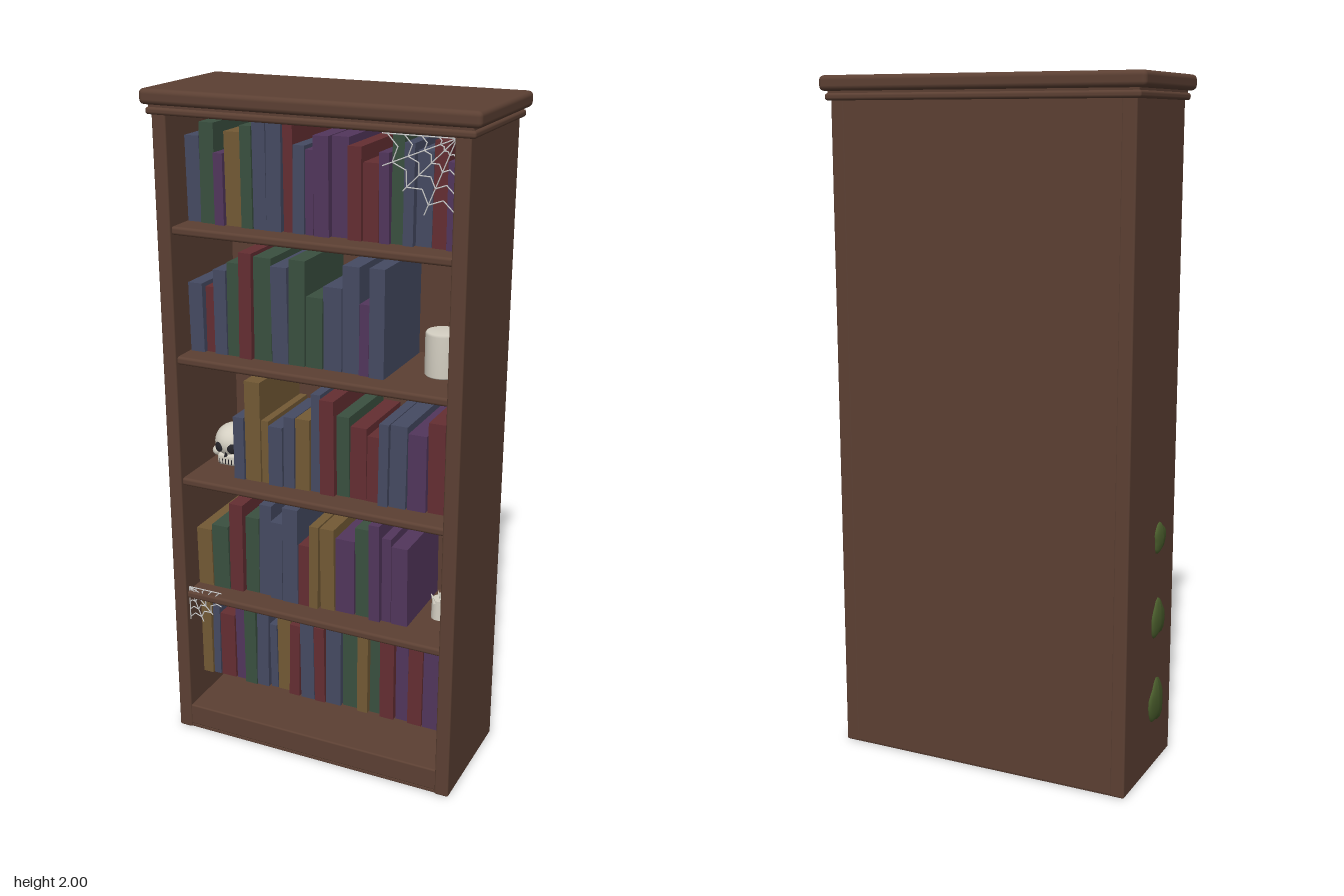
import * as THREE from 'three';
import { RoundedBoxGeometry } from 'three/addons/geometries/RoundedBoxGeometry.js';

const colours = {
  wood: 0x5c4033, blueCloth: 0x454a62, redCloth: 0x642e32, greenCloth: 0x3a5040, ochreCloth: 0x735a35,
  purpleCloth: 0x52365c, bone: 0xd4cfc2, web: 0xcfcfcf, moss: 0x4a5d2c, shadowGrey: 0x25242a,
};
const mats = {};
for (const [name, color] of Object.entries(colours)) {
  mats[name] = new THREE.MeshStandardMaterial({ color });
  mats[name].name = name;
}

let seed = 7;
const rand = () => (seed = (seed * 16807) % 2147483647) / 2147483647;

function add(parent, name, geo, mat, x = 0, y = 0, z = 0) {
  const m = new THREE.Mesh(geo, mats[mat]);
  m.name = name;
  m.position.set(x, y, z);
  parent.add(m);
  return m;
}

// Rounded board given by its limits on each axis
function board(parent, name, [x0, x1], [y0, y1], [z0, z1], r = 0.005) {
  const geo = new RoundedBoxGeometry(x1 - x0, y1 - y0, z1 - z0, 2, r);
  return add(parent, name, geo, 'wood', (x0 + x1) / 2, (y0 + y1) / 2, (z0 + z1) / 2);
}

function group(parent, name, x = 0, y = 0, z = 0) {
  const g = new THREE.Group();
  g.name = name;
  g.position.set(x, y, z);
  parent.add(g);
  return g;
}

// One row of books: cloth letters, widths and heights (hundredths)
const cloth = { b: 'blueCloth', r: 'redCloth', g: 'greenCloth', y: 'ochreCloth', p: 'purpleCloth' };
function bookRow(parent, startX, y, letters, widths, heights) {
  const row = group(parent, 'bookRow', 0, y, 0);
  let x = startX;
  widths.forEach((wPix, i) => {
    const w = wPix * 0.0053, h = heights[i] / 100, front = 0.095 + rand() * 0.02, back = -0.15;
    const geo = new THREE.BoxGeometry(w - 0.003, h, front - back);
    const book = add(row, 'book', geo, cloth[letters[i]], x + w / 2, h / 2, (front + back) / 2);
    book.rotation.z = (rand() - 0.5) * 0.03;
    x += w;
  });
}

// Thin strand between two points
function strand(parent, a, b) {
  const d = new THREE.Vector3().subVectors(b, a);
  const m = add(parent, 'strand', new THREE.CylinderGeometry(0.0018, 0.0018, d.length(), 5), 'web');
  m.position.copy(a).addScaledVector(d, 0.5);
  m.quaternion.setFromUnitVectors(new THREE.Vector3(0, 1, 0), d.normalize());
}

// Corner web: spokes fanning downwards, joined by sagging threads
function cobweb(parent, x, y, z, side, radius, spokes, rings) {
  const web = group(parent, 'cobweb', x, y, z);
  const at = (i, r) => {
    const a = (i / (spokes - 1)) * Math.PI / 2;
    return new THREE.Vector3(side * Math.cos(a) * r, -Math.sin(a) * r, 0);
  };
  for (let i = 0; i < spokes; i++) {
    strand(web, at(i, 0), at(i, radius * (i % 2 ? 1.05 : 0.98)));
    if (i === spokes - 1) break;
    for (let k = 1; k <= rings; k++) {
      const r = radius * k / (rings + 0.4);
      const mid = at(i + 0.5, r * 0.86);
      strand(web, at(i, r), mid);
      strand(web, mid, at(i + 1, r));
    }
  }
}

function skull(parent, x, y, z) {
  const g = group(parent, 'skull', x, y, z);
  add(g, 'cranium', new THREE.SphereGeometry(0.057, 24, 16), 'bone', 0, 0.068, -0.005).scale.set(1, 0.95, 1.1);
  add(g, 'jaw', new RoundedBoxGeometry(0.062, 0.04, 0.06, 3, 0.012), 'bone', 0, 0.021, 0.022);
  for (const s of [-1, 1]) {
    add(g, 'cheekbone', new THREE.SphereGeometry(0.016, 12, 8), 'bone', s * 0.036, 0.042, 0.034);
    const eye = add(g, 'eyeSocket', new THREE.SphereGeometry(0.016, 14, 10), 'shadowGrey', s * 0.023, 0.06, 0.05);
    eye.scale.set(1, 1, 0.4);
    eye.rotation.y = s * 0.4;
  }
  add(g, 'noseHole', new THREE.ConeGeometry(0.008, 0.018, 3), 'shadowGrey', 0, 0.042, 0.052);
  for (let i = -2; i <= 2; i++)
    add(g, 'toothGap', new THREE.BoxGeometry(0.002, 0.016, 0.004), 'shadowGrey', i * 0.01, 0.016, 0.0515);
}

export function createModel() {
  const model = new THREE.Group();
  model.name = 'bookcase';

  // Carcass
  const frame = group(model, 'case');
  const depth = [-0.19, 0.19];
  for (const s of [-1, 1])
    board(frame, 'sidePanel', s < 0 ? [-0.458, -0.415] : [0.415, 0.458], [0, 1.95], depth);
  board(frame, 'backPanel', [-0.45, 0.45], [0.002, 1.95], [-0.189, -0.16]);
  board(frame, 'bottomBoard', [-0.43, 0.43], [0.01, 0.08], [-0.18, 0.186]);
  board(frame, 'plinth', [-0.45, 0.45], [0, 0.012], [-0.188, 0.185], 0.003);
  board(frame, 'ceilingBoard', [-0.43, 0.43], [1.93, 1.96], [-0.18, 0.185]);

  // Cornice
  board(frame, 'lowerMoulding', [-0.472, 0.472], [1.931, 1.951], [-0.203, 0.2], 0.008);
  // The moulding sits around the case and above the opening
  board(frame, 'mouldingNeck', [-0.465, 0.465], [1.945, 1.962], [-0.196, 0.193], 0.003);
  board(frame, 'topSlab', [-0.488, 0.488], [1.957, 2], [-0.21, 0.207], 0.014);

  // Shelves
  for (const y of [0.485, 0.865, 1.245, 1.625])
    board(frame, 'shelf', [-0.42, 0.42], [y - 0.024, y], [-0.17, 0.18], 0.008);

  // Books
  const books = group(model, 'books');
  bookRow(books, -0.414, 1.625, 'bgpygbbrbppprrpgbbrp',
    [9, 9, 6, 10, 7, 8, 9, 6, 7, 5, 9, 10, 8, 9, 6, 7, 6, 9, 8, 7],
    [24, 28, 20, 26, 28, 30, 30, 30, 24, 23, 27, 27, 25, 21, 24, 30, 27, 25, 28, 23]);
  bookRow(books, -0.412, 1.245, 'brbgrgbggbbpb',
    [9, 6, 8, 8, 8, 11, 10, 10, 10, 11, 10, 6, 9],
    [20.5, 19.5, 25, 27.5, 31, 30, 28, 30.5, 20.5, 24, 30.5, 20.5, 31]);
  bookRow(books, -0.278, 0.865, 'byybbybrgrrbbpr',
    [7, 10, 5, 9, 7, 9, 6, 9, 8, 10, 8, 6, 10, 11, 10],
    [19.5, 31, 19.5, 18.5, 22, 22, 30, 29, 24.5, 22, 20, 25, 25, 23, 27]);
  bookRow(books, -0.414, 0.485, 'ygrgbbbryypgppp',
    [10, 11, 9, 9, 8, 8, 10, 7, 6, 9, 12, 9, 7, 6, 10],
    [19, 21, 29, 25, 30, 25.5, 31, 20, 27, 26.5, 24, 28.5, 31, 27, 25]);
  bookRow(books, -0.414, 0.165, 'ybrpgbbyrbrbgygrprp',
    [7, 5, 10, 7, 8, 8, 5, 9, 7, 9, 7, 10, 10, 7, 7, 9, 8, 9, 11],
    [26.5, 25, 22, 30, 30, 30, 22, 30, 24.5, 30, 25.5, 28, 28, 30, 30, 30, 28, 30, 30]);

  // Ornaments
  skull(model, -0.34, 0.867, 0);
  const jarProfile = [[0, 0], [0.046, 0], [0.05, 0.004], [0.05, 0.12], [0.046, 0.126], [0, 0.126]]
    .map(([x, y]) => new THREE.Vector2(x, y));
  add(model, 'jar', new THREE.LatheGeometry(jarProfile, 28), 'bone', 0.33, 1.245, 0);
  const candle = group(model, 'candleStub', 0.345, 0.485, 0);
  add(candle, 'wax', new THREE.CylinderGeometry(0.024, 0.026, 0.062, 16), 'bone', 0, 0.031, 0);
  for (let i = 0; i < 6; i++) {
    const a = i * Math.PI / 3;
    add(candle, 'rimPoint', new THREE.ConeGeometry(0.006, 0.022, 6), 'bone',
      Math.cos(a) * 0.025, 0.064, Math.sin(a) * 0.025).rotation.z = -Math.cos(a) * 0.5;
  }
  add(candle, 'wick', new THREE.CylinderGeometry(0.003, 0.003, 0.02, 6), 'bone', 0, 0.07, 0);

  // Webs
  cobweb(model, 0.413, 1.925, 0.17, -1, 0.205, 5, 4);
  cobweb(model, -0.413, 0.498, 0.172, 1, 0.115, 5, 4);

  // Moss patches on the right side: flattened irregular blobs
  for (const [y, h, w] of [[0.2, 0.066, 0.058], [0.458, 0.056, 0.052], [0.705, 0.044, 0.042]]) {
    const geo = new THREE.SphereGeometry(1, 14, 10);
    const p = geo.attributes.position;
    for (let i = 0; i < p.count; i++) {
      const a = Math.atan2(p.getY(i), p.getZ(i));
      const k = 1 + 0.1 * Math.sin(3 * a + y * 20) + 0.06 * Math.sin(5 * a);
      p.setXYZ(i, p.getX(i), p.getY(i) * k, p.getZ(i) * k);
    }
    geo.computeVertexNormals();
    add(model, 'mossPatch', geo, 'moss', -0.458, y, 0.06).scale.set(0.014, h, w);
  }
  return model;
}
